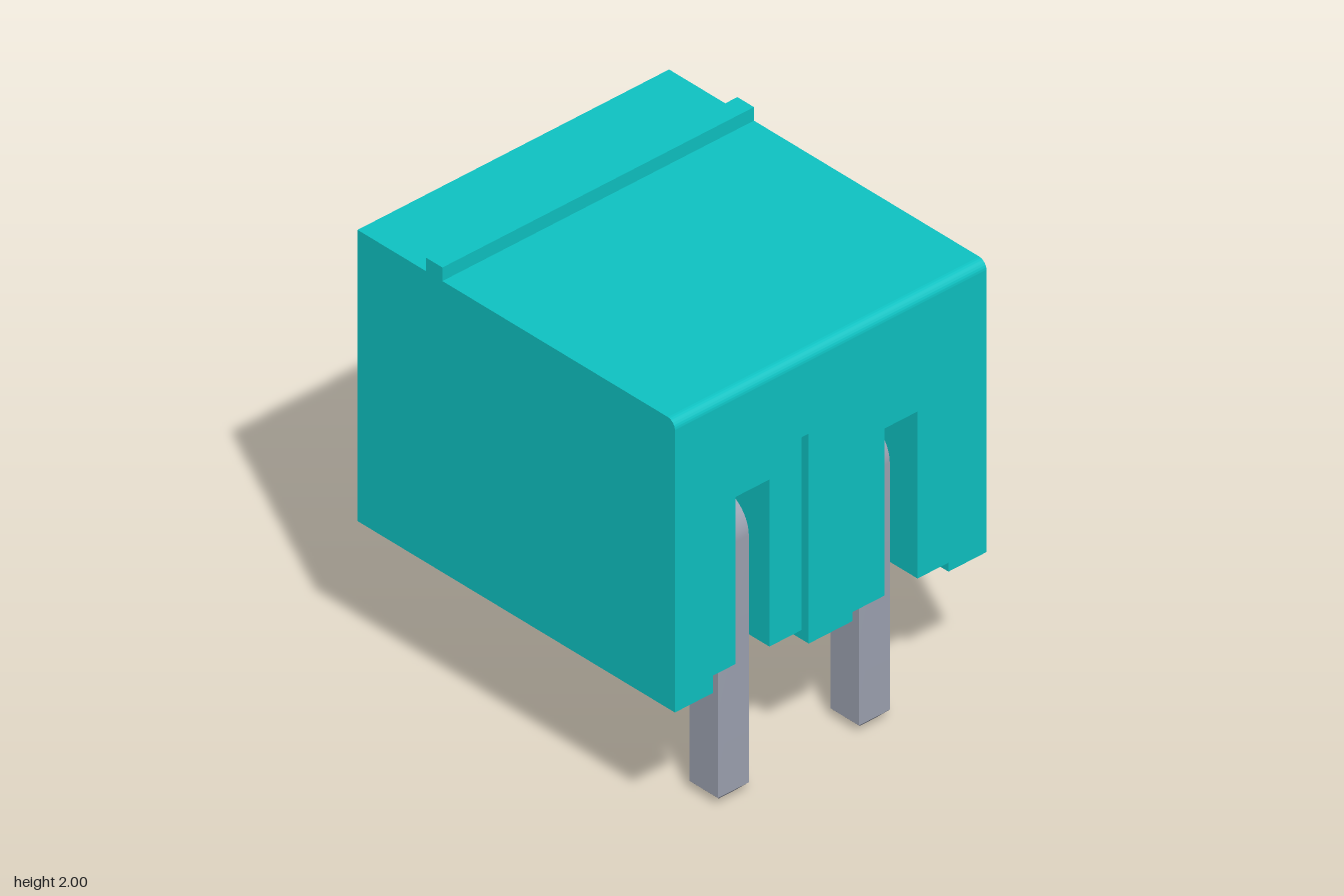
import * as THREE from 'three';
import { toCreasedNormals } from 'three/addons/utils/BufferGeometryUtils.js';

const W = 0.78, BOTTOM = 0.65, TOP = 1.94, BACK = -0.86, FRONT = 0.86, R = 0.04;

const housingMat = new THREE.MeshStandardMaterial({ name: 'teal plastic', color: 0x0ec3c3 });
const pinMat = new THREE.MeshStandardMaterial({ name: 'grey metal', color: 0x9da2b1 });

const toPoints = (list) => list.map(([x, y]) => new THREE.Vector2(x, y));

function add(group, name, geometry, material) {
  const mesh = new THREE.Mesh(geometry, material);
  mesh.name = name;
  group.add(mesh);
  return mesh;
}

// Cross-section of the housing: flat top, stepped underside given left to right
function section(underside, top) {
  return new THREE.Shape(toPoints([[-W, BOTTOM], ...underside, [W, BOTTOM], [W, top], [-W, top]]));
}

// Steps cut upward into the underside
const cut = (x0, x1, y, inner = []) =>
  [[x0, BOTTOM], [x0, y], ...inner, [x1, y], [x1, BOTTOM]];
const slot = (x0, x1, base) => [[x0, base], [x0, 1.43], [x1, 1.43], [x1, base]];

// Socket opening with two key tabs and a gently raised floor
function socketHole(side) {
  const floor = [];
  for (let i = 0; i <= 16; i++) {
    const t = i / 16;
    floor.push([0.2 + 0.31 * t, 0.735 + 0.02 * (1 - Math.cos(2 * Math.PI * t))]);
  }
  const pts = [
    [0.075, 0.735], ...floor, [0.635, 0.735],
    [0.635, 1.65], [0.5, 1.65], [0.525, 1.74], [0.635, 1.74],
    [0.635, 1.84], [0.075, 1.84],
    [0.075, 1.74], [0.185, 1.74], [0.21, 1.65], [0.075, 1.65],
  ];
  // The far socket is shifted rather than mirrored, so both key the same way
  return new THREE.Path(toPoints(pts.map(([x, y]) => [side > 0 ? x : x - 0.71, y])));
}

function slab(shape, z0, z1) {
  const g = new THREE.ExtrudeGeometry(shape, { depth: z1 - z0, bevelEnabled: false, curveSegments: 8 });
  g.translate(0, 0, z0);
  return toCreasedNormals(g, 0.5);
}

// Extrudes a side profile drawn as (z, y) between two x positions
function sideExtrude(shape, x0, x1) {
  const g = new THREE.ExtrudeGeometry(shape, { depth: x1 - x0, bevelEnabled: false, curveSegments: 10 });
  g.rotateY(-Math.PI / 2);
  g.translate(x1, 0, 0);
  return toCreasedNormals(g, 0.5);
}

function createHousing() {
  const housing = new THREE.Group();
  housing.name = 'housing';

  const notched = [...cut(-0.59, -0.11, 0.69), ...cut(0.11, 0.59, 0.69)];
  const slotted = [
    ...cut(-0.59, -0.11, 0.69, slot(-0.44, -0.27, 0.69)),
    ...cut(0.11, 0.59, 0.69, slot(0.27, 0.435, 0.69)),
  ];
  const faceCuts = [
    ...cut(-0.59, -0.11, 1.58),
    ...cut(0.11, 0.59, 0.69, slot(0.27, 0.435, 0.69)),
  ];

  // Slices from back to front
  const slices = [
    ['socketShell', [], true, BACK, 0.3, TOP],
    ['socketInnerShell', notched, true, 0.3, 0.45, TOP],
    ['socketEndWall', notched, false, 0.45, 0.53, TOP],
    ['slottedWall', slotted, false, 0.53, FRONT - R, TOP],
    ['frontFace', faceCuts, false, FRONT - R, FRONT, TOP - R],
  ];
  for (const [name, underside, hollow, z0, z1, top] of slices) {
    const shape = section(underside, top);
    if (hollow) shape.holes.push(socketHole(1), socketHole(-1));
    add(housing, name, slab(shape, z0, z1), housingMat);
  }

  // Rounded top front edge
  const edge = new THREE.Shape();
  edge.moveTo(FRONT - R, TOP - R);
  edge.lineTo(FRONT, TOP - R);
  edge.absarc(FRONT - R, TOP - R, R, 0, Math.PI / 2, false);
  edge.closePath();
  add(housing, 'roundedFrontEdge', sideExtrude(edge, -W, W), housingMat);

  // Locking rib across the top
  const rib = add(housing, 'topRib', new THREE.BoxGeometry(2 * W, 0.06, 0.09), housingMat);
  rib.position.set(0, 1.97, -0.445);
  return housing;
}

function createPin(x) {
  const pin = new THREE.Group();
  pin.name = 'contactPin';
  const h = 0.077, zFront = 0.715, top = 1.283, bend = 0.15;
  const zBack = -0.55, tipY = 0.04;

  // Bent square bar
  const s = new THREE.Shape();
  s.moveTo(zFront - 2 * h, tipY);
  s.lineTo(zFront, tipY);
  s.lineTo(zFront, top - bend);
  s.absarc(zFront - bend, top - bend, bend, 0, Math.PI / 2, false);
  s.lineTo(zBack, top);
  s.lineTo(zBack, top - 2 * h);
  s.lineTo(zFront - 2 * h, top - 2 * h);
  s.closePath();
  add(pin, 'bentBar', sideExtrude(s, -h, h), pinMat);

  // Tapered square ends
  const taper = (length) => {
    const g = new THREE.CylinderGeometry(h * Math.SQRT2, 0.037 * Math.SQRT2, length, 4);
    g.rotateY(Math.PI / 4);
    return toCreasedNormals(g, 0.3);
  };
  add(pin, 'lowerTip', taper(tipY), pinMat).position.set(0, tipY / 2, zFront - h);
  const rear = add(pin, 'rearTip', taper(0.06), pinMat);
  rear.rotation.x = Math.PI / 2;
  rear.position.set(0, top - h, zBack - 0.03);

  pin.position.x = x;
  return pin;
}

export function createModel() {
  const model = new THREE.Group();
  model.name = 'pinHeader';
  model.add(createHousing());
  for (const x of [-0.353, 0.353]) model.add(createPin(x));
  return model;
}
